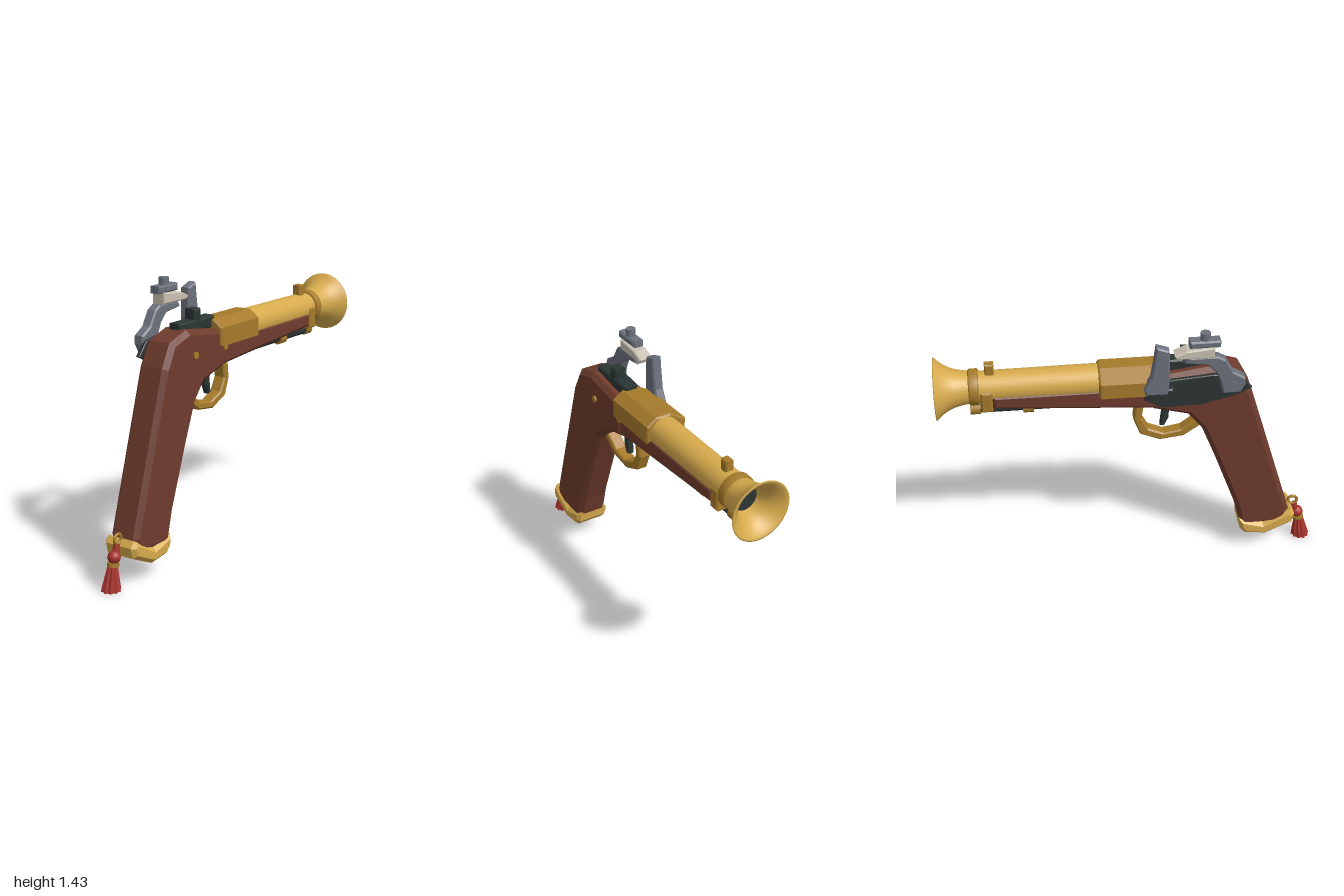
import * as THREE from 'three';

const mat = (name, color, side = THREE.FrontSide) => {
  const m = new THREE.MeshStandardMaterial({ color, side });
  m.name = name;
  return m;
};

export function createModel() {
  const brass = mat('brass', 0xd6aa4c, THREE.DoubleSide);
  const darkBrass = mat('dark brass', 0xa67b2b);
  const wood = mat('wood', 0x6e3b2d);
  const steel = mat('steel', 0x6c717c);
  const iron = mat('blackened iron', 0x2b3533);
  const flintStone = mat('flint', 0xc9c1b2);
  const red = mat('red thread', 0xa8332d);

  const model = new THREE.Group();
  model.name = 'flintlockPistol';
  const add = (name, geo, material, x = 0, y = 0, z = 0) => {
    const mesh = new THREE.Mesh(geo, material);
    mesh.name = name;
    mesh.position.set(x, y, z);
    model.add(mesh);
    return mesh;
  };

  // Side profile given as [z, y], extruded across x with chamfered edges
  const slab = (name, pts, half, bevel, material, x = 0) => {
    const shape = new THREE.Shape(pts.map(([z, y]) => new THREE.Vector2(z, y)));
    const depth = 2 * (half - bevel);
    const geo = new THREE.ExtrudeGeometry(shape, {
      depth, bevelEnabled: bevel > 0, bevelSize: bevel, bevelThickness: bevel,
      bevelOffset: -bevel, bevelSegments: 1,
    });
    geo.translate(0, 0, -depth / 2).rotateY(-Math.PI / 2);
    return add(name, geo, material, x);
  };
  const block = (name, z0, z1, y0, y1, half, bevel, material, x = 0) =>
    slab(name, [[z0, y0], [z1, y0], [z1, y1], [z0, y1]], half, bevel, material, x);

  // Turned part along the barrel axis, profile as [radius, z]
  const turned = (name, pts, y, material, sides = 32) => {
    const geo = new THREE.LatheGeometry(pts.map(([r, z]) => new THREE.Vector2(r, -z)), sides);
    geo.rotateX(-Math.PI / 2);
    return add(name, geo, material, 0, y, 0);
  };
  const rod = (name, r, z0, z1, y, material, sides = 20) => {
    const geo = new THREE.CylinderGeometry(r, r, Math.abs(z1 - z0), sides).rotateX(Math.PI / 2);
    return add(name, geo, material, 0, y, (z0 + z1) / 2);
  };

  // Wooden grip and forestock
  slab('grip', [
    [0.83, 0.16], [0.853, 0.24], [0.607, 1.04], [0.545, 1.158], [0.41, 1.2], [0.163, 1.163],
    [0.1, 1.15], [0.1, 0.962], [0.28, 0.915], [0.356, 0.82], [0.43, 0.634], [0.548, 0.313], [0.59, 0.15],
  ], 0.086, 0.025, wood);
  slab('forestock', [[0.13, 0.968], [0.13, 1.105], [-0.72, 1.105], [-0.72, 1.024]], 0.083, 0.018, wood);

  // Butt cap
  slab('buttCap', [
    [0.862, 0.243], [0.714, 0.163], [0.58, 0.198], [0.585, 0.136],
    [0.618, 0.1], [0.73, 0.087], [0.875, 0.155], [0.887, 0.21],
  ], 0.097, 0.02, brass);

  // Barrel with flared muzzle
  const axis = 1.12;
  turned('barrel', [[0.085, 0.1], [0.08, -0.8]], axis, brass);
  const flare = [];
  for (let i = 0; i <= 10; i++) {
    const t = i / 10;
    flare.push([0.083 + 0.02 * t + 0.055 * t ** 3, -0.82 - 0.175 * t]);
  }
  flare.push([0.16, -1], [0.15, -1]);
  for (let i = 9; i >= 0; i--) {
    const t = i / 10;
    flare.push([0.065 + 0.03 * t + 0.055 * t ** 3, -0.87 - 0.13 * t]);
  }
  turned('muzzleFlare', flare, axis, brass, 40);
  rod('bore', 0.068, -0.84, -0.874, axis, iron, 32);
  turned('muzzleRing', [
    [0.07, -0.78], [0.086, -0.78], [0.093, -0.787], [0.093, -0.825], [0.086, -0.832], [0.07, -0.832],
  ], axis, darkBrass);
  block('noseBand', -0.775, -0.715, 1.015, 1.13, 0.088, 0.008, darkBrass);
  block('frontSight', -0.747, -0.7, 1.17, 1.255, 0.023, 0.006, darkBrass);

  // Faceted breech, wider toward the lock
  const breech = new THREE.Shape([
    [-0.127, 1.08], [0.1, 1.075], [0.1, 1.17], [0.045, 1.21], [-0.04, 1.21], [-0.127, 1.16],
  ].map(([x, y]) => new THREE.Vector2(x, y)));
  add('breech', new THREE.ExtrudeGeometry(breech, {
    depth: 0.324, bevelSize: 0.008, bevelThickness: 0.008, bevelOffset: -0.008, bevelSegments: 1,
  }), darkBrass, 0, 0, -0.172);

  // Ramrod and its thimbles
  rod('ramrod', 0.023, 0.08, -0.8, 0.988, iron);
  rod('ramrodThimble', 0.031, -0.51, -0.565, 0.982, darkBrass);
  rod('ramrodTip', 0.031, -0.78, -0.832, 0.99, darkBrass);

  // Trigger and guard
  slab('triggerGuard', [
    [0.055, 0.965], [0.01, 0.965], [0, 0.875], [0.035, 0.783], [0.14, 0.738], [0.265, 0.755], [0.365, 0.825],
    [0.33, 0.855], [0.25, 0.795], [0.158, 0.778], [0.078, 0.812], [0.042, 0.88],
  ], 0.035, 0.008, darkBrass);
  slab('trigger', [
    [0.19, 0.97], [0.13, 0.97], [0.15, 0.9], [0.14, 0.82], [0.162, 0.815], [0.185, 0.865],
  ], 0.018, 0.006, iron);

  // Tang on top of the grip
  block('tang', 0.13, 0.425, 1.165, 1.226, 0.035, 0.008, iron);
  block('tangKnob', 0.243, 0.3, 1.21, 1.28, 0.033, 0.008, iron);

  // Lock plate, pan and screws on the -x side
  slab('lockPlate', [
    [0.6, 1.08], [0.54, 1.15], [0.4, 1.17], [0.05, 1.14], [0.05, 1.04], [0.14, 0.99], [0.34, 0.995], [0.52, 1.04],
  ], 0.012, 0.004, iron, -0.093);
  block('pan', 0.06, 0.19, 1.07, 1.125, 0.025, 0.008, iron, -0.12);

  // Hammer with jaws holding the flint
  const hx = -0.124;
  slab('hammer', [
    [0.555, 1.13], [0.553, 1.172], [0.49, 1.21], [0.447, 1.285], [0.41, 1.306], [0.26, 1.306], [0.245, 1.275],
    [0.355, 1.26], [0.4, 1.215], [0.425, 1.16], [0.44, 1.085], [0.53, 1.085],
  ], 0.029, 0.008, steel, hx);
  slab('flint', [[0.39, 1.305], [0.39, 1.364], [0.25, 1.35], [0.19, 1.325], [0.2, 1.305]], 0.038, 0.006, flintStone, hx);
  block('upperJaw', 0.265, 0.42, 1.36, 1.398, 0.032, 0.008, steel, hx);
  add('jawScrew', new THREE.CylinderGeometry(0.026, 0.026, 0.05, 16), steel, hx, 1.41, 0.345);
  add('hammerScrew', new THREE.CylinderGeometry(0.025, 0.025, 0.01, 16).rotateZ(Math.PI / 2), steel, -0.153, 1.13, 0.49);

  // Frizzen
  slab('frizzen', [
    [0.165, 1.355], [0.1, 1.378], [0.09, 1.3], [0.075, 1.2], [0.04, 1.13], [0.05, 1.1],
    [0.16, 1.1], [0.17, 1.2],
  ], 0.027, 0.008, steel, -0.13);

  // Pins through the grip
  for (const z of [0.366, 0.115])
    add('stockPin', new THREE.CylinderGeometry(0.018, 0.018, 0.01, 16).rotateZ(Math.PI / 2), darkBrass, 0.09, 1.067, z);

  // Tassel hanging from a ring
  add('tasselRing', new THREE.TorusGeometry(0.025, 0.008, 10, 24).rotateY(Math.PI / 2), darkBrass, 0, 0.246, 0.89);
  add('tasselCord', new THREE.CylinderGeometry(0.016, 0.018, 0.05, 12).rotateX(-0.2), red, 0, 0.2, 0.905);
  add('tasselKnot', new THREE.SphereGeometry(0.033, 16, 12), red, 0, 0.163, 0.921);
  add('tasselCollar', new THREE.CylinderGeometry(0.03, 0.03, 0.018, 16).rotateX(-0.2), darkBrass, 0, 0.127, 0.929);

  // Fluted skirt, leaning backward toward the hem
  const skirt = new THREE.CylinderGeometry(0.025, 0.051, 0.125, 20, 1);
  const p = skirt.attributes.position;
  for (let i = 0; i < p.count; i++) {
    const x = p.getX(i), y = p.getY(i), z = p.getZ(i);
    const step = Math.round(Math.atan2(x, z) / (Math.PI / 10));
    const k = step % 2 ? 0.82 : 1;
    p.setXYZ(i, x * k, y, z * k - y * 0.13);
  }
  const flatSkirt = skirt.toNonIndexed();
  flatSkirt.computeVertexNormals();
  add('tasselSkirt', flatSkirt, red, 0, 0.0625, 0.941);

  return model;
}
